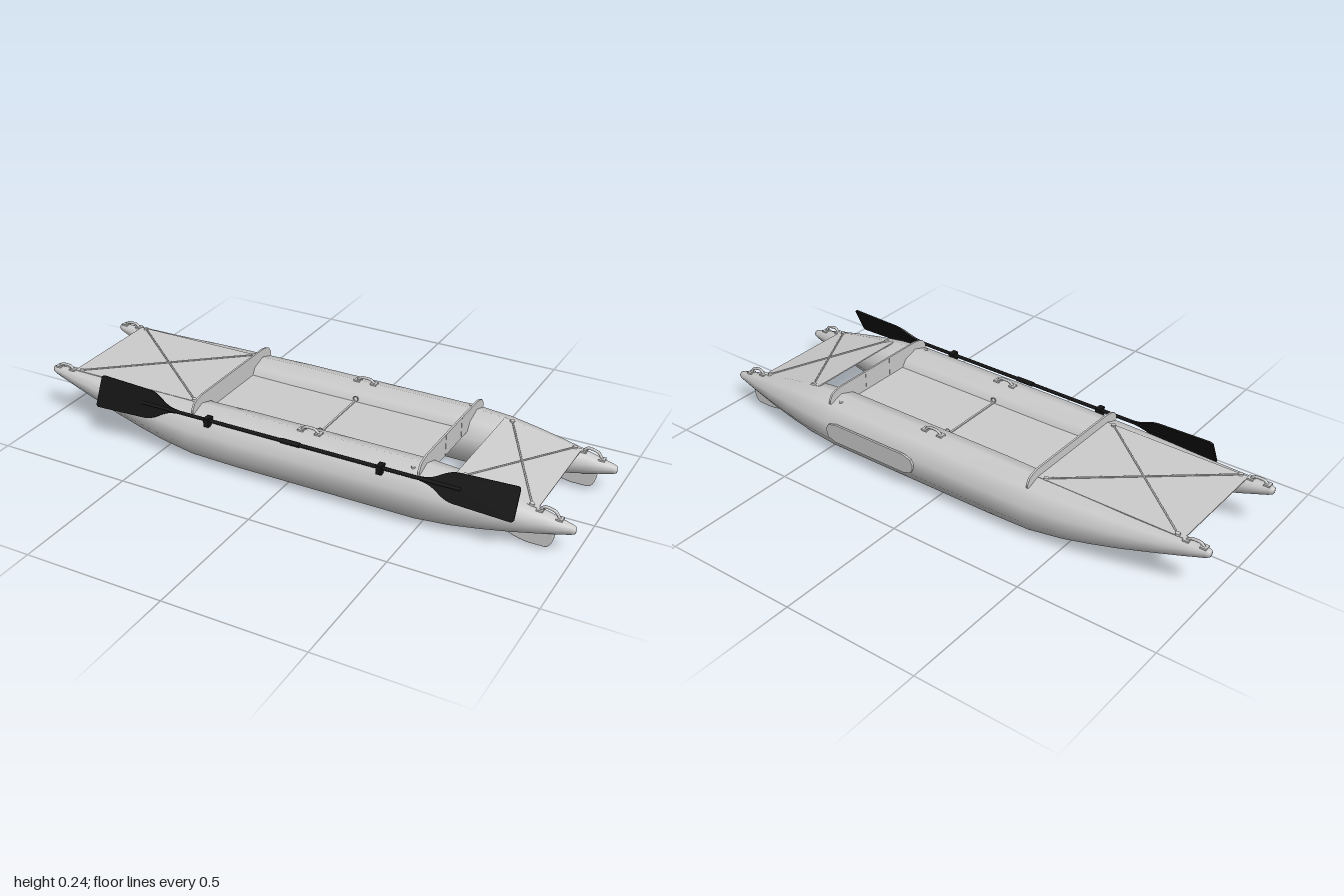
import * as THREE from 'three';

const grey = new THREE.MeshStandardMaterial({ color: 0xcccccc });
const greyThin = new THREE.MeshStandardMaterial({ color: 0xcccccc, side: THREE.DoubleSide });
const black = new THREE.MeshStandardMaterial({ color: 0x141414 });
const HULL_Z = 0.205;

// Hull stations from bow to stern: x, centre height, radius
const stations = [
  [-1, 0.18, 0.002], [-0.998, 0.18, 0.012], [-0.985, 0.178, 0.017], [-0.9, 0.164, 0.031],
  [-0.8, 0.148, 0.046], [-0.7, 0.133, 0.061], [-0.6, 0.121, 0.075], [-0.5, 0.11, 0.087],
  [-0.37, 0.1, 0.097], [-0.2, 0.1, 0.1], [0.2, 0.1, 0.1], [0.48, 0.1, 0.1],
  [0.6, 0.101, 0.091], [0.7, 0.101, 0.076], [0.8, 0.101, 0.058], [0.9, 0.101, 0.037],
  [0.985, 0.101, 0.017], [0.998, 0.101, 0.012], [1, 0.101, 0.002],
];

function add(parent, name, geometry, material = grey) {
  const mesh = new THREE.Mesh(geometry, material);
  mesh.name = name;
  parent.add(mesh);
  return mesh;
}

// Height of the hull's top ridge at a given x
function hullTop(x) {
  const i = Math.max(1, stations.findIndex((s) => s[0] >= x));
  const a = stations[i - 1], b = stations[i];
  return THREE.MathUtils.lerp(a[1] + a[2], b[1] + b[2], (x - a[0]) / (b[0] - a[0]));
}

// Ten-sided float lofted through the stations
function hullGeometry() {
  const sides = 10, pos = [], index = [];
  stations.forEach(([x, cy, r], i) => {
    for (let j = 0; j < sides; j++) {
      const a = (j / sides) * Math.PI * 2;
      pos.push(x, cy + r * Math.cos(a), r * Math.sin(a));
      if (i < stations.length - 1) {
        const p = i * sides + j, q = i * sides + ((j + 1) % sides);
        index.push(p, q, p + sides, q, q + sides, p + sides);
      }
    }
  });
  const g = new THREE.BufferGeometry();
  g.setAttribute('position', new THREE.Float32BufferAttribute(pos, 3));
  g.setIndex(index);
  g.computeVertexNormals();
  return g;
}

function rod(parent, name, a, b, r, material = grey) {
  const from = new THREE.Vector3(...a), to = new THREE.Vector3(...b);
  const m = add(parent, name, new THREE.CylinderGeometry(r, r, from.distanceTo(to), 8), material);
  m.position.copy(from).lerp(to, 0.5);
  m.quaternion.setFromUnitVectors(new THREE.Vector3(0, 1, 0), to.sub(from).normalize());
  return m;
}

// Arched grab handle on two flat pads
function handle(parent, x0, x1, z, rise) {
  const y0 = hullTop(x0), y1 = hullTop(x1);
  const pts = [[0, 0], [0.2, 0.85], [0.5, 1], [0.8, 0.85], [1, 0]].map(([t, h]) =>
    new THREE.Vector3(x0 + (x1 - x0) * t, y0 + (y1 - y0) * t + rise * h, z));
  add(parent, 'grabHandle', new THREE.TubeGeometry(new THREE.CatmullRomCurve3(pts), 16, 0.005, 8));
  for (const [x, y] of [[x0, y0], [x1, y1]]) {
    add(parent, 'handlePad', new THREE.BoxGeometry(0.022, 0.006, 0.024)).position.set(x, y, z);
  }
}

// Deck sheet between the floats with crossed lashings and corner buttons
function deck(parent, name, x0, x1, lx0, lx1) {
  const y0 = hullTop(x0) - 0.001, y1 = hullTop(x1) - 0.001;
  const slope = Math.atan2(y1 - y0, x1 - x0);
  const yAt = (x) => y0 + ((y1 - y0) * (x - x0)) / (x1 - x0) + 0.004;
  const sheet = add(parent, name, new THREE.BoxGeometry(Math.hypot(x1 - x0, y1 - y0), 0.004, 0.414));
  sheet.position.set((x0 + x1) / 2, (y0 + y1) / 2, 0);
  sheet.rotation.z = slope;
  for (const s of [1, -1]) {
    rod(parent, 'lashing', [lx0, yAt(lx0), 0.2 * s], [lx1, yAt(lx1), -0.2 * s], 0.003);
    for (const x of [lx0, lx1]) {
      const b = add(parent, 'lashingButton', new THREE.CylinderGeometry(0.008, 0.009, 0.007, 12));
      b.position.set(x, yAt(x), 0.2 * s);
      b.rotation.z = slope;
    }
  }
}

// Upright cross board whose underside saddles both floats
function crossBoard(parent, x) {
  const half = [[0.13, 0.15], [0.146, 0.18], [0.205, 0.198], [0.255, 0.181], [0.263, 0.183],
    [0.263, 0.197], [0.25, 0.216], [0.235, 0.223], [0.205, 0.229]];
  const outline = [...half, ...half.map(([z, y]) => [-z, y]).reverse()];
  const shape = new THREE.Shape(outline.map(([z, y]) => new THREE.Vector2(z, y)));
  const g = new THREE.ExtrudeGeometry(shape, { depth: 0.007, bevelEnabled: false });
  g.translate(0, 0, -0.0035).rotateY(-Math.PI / 2);
  add(parent, 'crossBoard', g).position.x = x;
}

function fin(parent, z) {
  const s = new THREE.Shape();
  s.moveTo(0.74, 0.06);
  s.quadraticCurveTo(0.78, 0.02, 0.85, 0.013);
  s.lineTo(0.905, 0.013);
  s.quadraticCurveTo(0.93, 0.016, 0.936, 0.08);
  s.lineTo(0.85, 0.09);
  const g = new THREE.ExtrudeGeometry(s, {
    depth: 0.004, bevelThickness: 0.006, bevelSize: 0.006, bevelOffset: -0.006, bevelSegments: 3,
  });
  add(parent, 'fin', g.translate(0, 0, -0.002)).position.z = z;
}

// Double-bladed paddle strapped along one float
function paddle(parent) {
  const g = new THREE.Group();
  g.name = 'paddle';
  g.position.set(0.043, 0.184, 0.279);
  parent.add(g);
  rod(g, 'paddleShaft', [-0.6, 0, 0], [0.6, 0, 0], 0.0065, black);
  rod(g, 'paddleFerrule', [-0.045, 0, 0], [0.025, 0, 0], 0.009, black);
  const s = new THREE.Shape();
  s.moveTo(0.46, -0.007);
  s.bezierCurveTo(0.52, -0.01, 0.53, -0.045, 0.58, -0.05);
  s.lineTo(0.775, -0.057);
  s.quadraticCurveTo(0.787, -0.057, 0.787, -0.045);
  s.lineTo(0.787, 0.045);
  s.quadraticCurveTo(0.787, 0.057, 0.775, 0.057);
  s.lineTo(0.58, 0.05);
  s.bezierCurveTo(0.53, 0.045, 0.52, 0.01, 0.46, 0.007);
  const blade = new THREE.ExtrudeGeometry(s, { depth: 0.006, bevelEnabled: false }).translate(0, 0, -0.003);
  for (const turn of [0, Math.PI]) {
    const holder = new THREE.Group();
    holder.name = 'paddleBlade';
    holder.rotation.x = -0.44;
    add(holder, 'blade', blade, black).rotation.z = turn;
    g.add(holder);
  }
  for (const x of [-0.333, 0.32]) {
    const clip = add(g, 'paddleClip', new THREE.BoxGeometry(0.02, 0.032, 0.03), black);
    clip.position.set(x, -0.005, -0.002);
  }
}

export function createModel() {
  const model = new THREE.Group();
  model.name = 'inflatableCatamaran';

  // Floats with fins and handles
  const hull = hullGeometry();
  for (const s of [1, -1]) {
    const z = HULL_Z * s;
    add(model, 'float', hull).position.z = z;
    fin(model, z);
    handle(model, -0.975, -0.915, z, 0.012);
    handle(model, 0.035, 0.1, z, 0.014);
    handle(model, 0.88, 0.945, z, 0.02);
    const ring = add(model, 'floorRing', new THREE.TorusGeometry(0.009, 0.002, 6, 16));
    ring.position.set(0.065, 0.166, 0.13 * s);
    const valve = add(model, 'valve', new THREE.CylinderGeometry(0.007, 0.007, 0.008, 12));
    valve.position.set(0.46, 0.19, 0.236 * s);
  }

  // Bow and stern decks
  deck(model, 'bowDeck', -0.905, -0.363, -0.88, -0.395);
  deck(model, 'sternDeck', 0.595, 0.872, 0.625, 0.85);

  // Sunken floor with its centre seam
  add(model, 'floor', new THREE.BoxGeometry(0.855, 0.005, 0.275)).position.set(0.063, 0.153, 0);
  add(model, 'floorSeam', new THREE.BoxGeometry(0.007, 0.006, 0.27)).position.set(0.063, 0.156, 0);

  // Cross boards with straps on the aft one
  crossBoard(model, -0.363);
  crossBoard(model, 0.49);
  for (const z of [0.057, -0.073]) {
    add(model, 'boardStrap', new THREE.BoxGeometry(0.009, 0.076, 0.004)).position.set(0.49, 0.191, z);
  }

  // Rounded rub patch on the outer side of the right float
  const rows = [[-0.036, 0.43], [-0.026, 0.462], [-0.01, 0.47], [0.01, 0.47], [0.026, 0.462], [0.036, 0.43]];
  const patch = new THREE.Shape(rows.map(([y, x]) => new THREE.Vector2(x, y)));
  for (const [y, x] of [...rows].reverse()) patch.lineTo(0.55 - x, y);
  const patchGeometry = new THREE.ExtrudeGeometry(patch, { depth: 0.008, bevelEnabled: false });
  add(model, 'rubPatch', patchGeometry, greyThin).position.set(0, 0.106, -0.308);

  paddle(model);
  return model;
}
